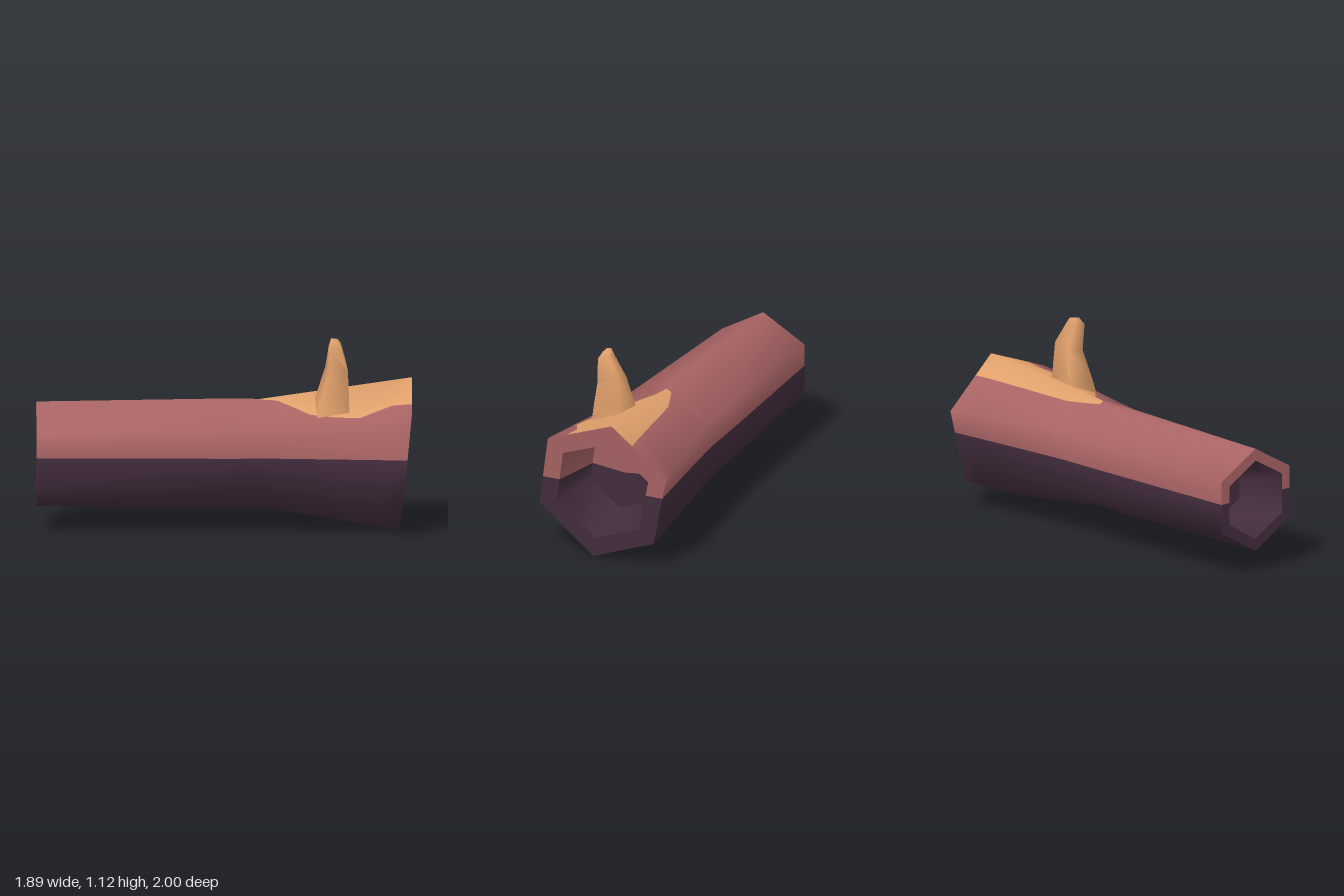
import * as THREE from 'three';
import { toCreasedNormals } from 'three/addons/utils/BufferGeometryUtils.js';

const mat = (name, color) => Object.assign(new THREE.MeshStandardMaterial({ color }), { name });
const V = (x, y, z) => new THREE.Vector3(x, y, z);
const SPLIT = 0.45; // height where the bark turns dark
const BARK = 0, DARK = 1, WOOD = 2;

// Skins a sequence of rings; pick(row, column) gives the material index
function loft(rings, pick, crease) {
  const buckets = [[], [], []];
  const tri = (out, a, b, c) => {
    const area = b.clone().sub(a).cross(c.clone().sub(a)).length();
    if (area > 1e-7) for (const p of [a, b, c]) out.push(p.x, p.y, p.z);
  };
  for (let i = 0; i + 1 < rings.length; i++) {
    const n = rings[i].length;
    for (let j = 0; j < n; j++) {
      const k = (j + 1) % n, out = buckets[pick(i, j)];
      tri(out, rings[i][j], rings[i + 1][j], rings[i + 1][k]);
      tri(out, rings[i][j], rings[i + 1][k], rings[i][k]);
    }
  }
  const geo = new THREE.BufferGeometry();
  geo.setAttribute('position', new THREE.Float32BufferAttribute(buckets.flat(), 3));
  let start = 0;
  buckets.forEach((b, m) => {
    if (b.length) geo.addGroup(start, b.length / 3, m);
    start += b.length / 3;
  });
  return toCreasedNormals(geo, crease);
}

const centre = (pts) => pts.reduce((s, p) => s.add(p), V(0, 0, 0)).divideScalar(pts.length);
const scaled = (pts, s, shift = V(0, 0, 0)) => {
  const c = centre(pts);
  return pts.map((p) => p.clone().sub(c).multiplyScalar(s).add(c).add(shift));
};

// Hexagon: right upper, top, left upper, left lower, bottom, right lower
const hexagon = (x, z, hx, hz, top, up, low, bottom) => [
  V(x + hx, up, z + hz), V(x, top, z), V(x - hx, up, z - hz),
  V(x - hx, low, z - hz), V(x, bottom, z), V(x + hx, low, z + hz),
];

// Adds the colour-line points on both sides and the edges of the bare wood on top
function ring(h, left = 0.1, right = 0.02) {
  const [ru, top, lu, ll, bottom, rl] = h;
  const atSplit = (a, b) =>
    a.clone().lerp(b, THREE.MathUtils.clamp((SPLIT - a.y) / (b.y - a.y), 0.02, 0.98));
  return [atSplit(rl, ru), ru, top.clone().lerp(ru, right), top, top.clone().lerp(lu, left),
    lu, atSplit(lu, ll), ll, bottom, rl];
}

export function createModel() {
  const materials = [mat('bark', 0xa86364), mat('darkBark', 0x432d3e), mat('bareWood', 0xe0a06b)];
  const group = new THREE.Group();
  group.name = 'hollowLog';

  // Main sections of the trunk
  const front = hexagon(-0.76, 0.822, 0.19, 0.178, 0.73, 0.58, 0.28, 0.13);
  const middle = hexagon(0, 0, 0.22, 0.2, 0.745, 0.605, 0.27, 0.11);
  const bend = hexagon(0.095, -0.11, 0.215, 0.2, 0.74, 0.61, 0.27, 0.12);
  const back = [V(0.92, 0.7, -0.51), V(0.63, 0.85, -0.79), V(0.37, 0.58, -1),
    V(0.42, 0.155, -0.92), V(0.69, 0, -0.635), V(0.945, 0.28, -0.43)];

  // Hollow ends
  const depth = V(0.2, 0, -0.22);
  const frontRim = scaled(front, 0.77), backRim = scaled(back, 0.72);
  const frontFloor = scaled(frontRim, 0.75, depth);
  const backFloor = scaled(backRim, 0.75, depth.clone().negate());
  const point = (h) => ring(h).map(() => centre(h));

  // Bare wood patch: position along the trunk, reach to the left, reach to the right
  const patch = [
    [0, 0.1, 0.02], [0.11, 0.2, 0.12], [0.22, 0.28, 0.4], [0.33, 0.3, 0.68], [0.48, 0.32, 0.82],
    [0.6, 0.33, 0.9], [0.66, 0.34, 0.92], [0.87, 0.36, 0.68], [1, 0.38, 0.7],
  ].map(([t, l, r]) => ring(bend.map((p, i) => p.clone().lerp(back[i], t)), l, r));

  const rings = [point(frontFloor), ring(frontFloor), ring(frontRim), ring(front), ring(middle),
    ...patch, ring(backRim), ring(backFloor), point(backFloor)];
  const patchStart = 5, patchEnd = patchStart + patch.length - 1;
  const trunk = new THREE.Mesh(loft(rings, (row, col) => {
    if (row < 2 || col > 5) return DARK;
    const bare = row >= patchStart && row < patchEnd && (col === 2 || col === 3);
    return bare ? WOOD : BARK;
  }, 1.2), materials);
  trunk.name = 'trunk';
  group.add(trunk);

  // Broken branch stub: four-sided sections, left, back, right, front
  const stub = [
    [V(0.32, 0.69, -0.3), V(0.47, 0.71, -0.45), V(0.61, 0.63, -0.32), V(0.49, 0.63, -0.17)],
    [V(0.345, 0.77, -0.31), V(0.47, 0.79, -0.43), V(0.595, 0.78, -0.33), V(0.49, 0.74, -0.2)],
    [V(0.4, 0.94, -0.33), V(0.48, 0.97, -0.415), V(0.575, 0.93, -0.34), V(0.5, 0.92, -0.26)],
    [V(0.46, 1.07, -0.3), V(0.51, 1.09, -0.345), V(0.56, 1.06, -0.3), V(0.51, 1.07, -0.25)],
    [V(0.48, 1.115, -0.3), V(0.5, 1.11, -0.33), V(0.53, 1.1, -0.3), V(0.5, 1.11, -0.28)],
  ];
  stub.push(stub[4].map(() => centre(stub[4])));
  const branch = new THREE.Mesh(loft(stub, () => WOOD, 1.7), materials);
  branch.name = 'branchStub';
  group.add(branch);
  return group;
}
